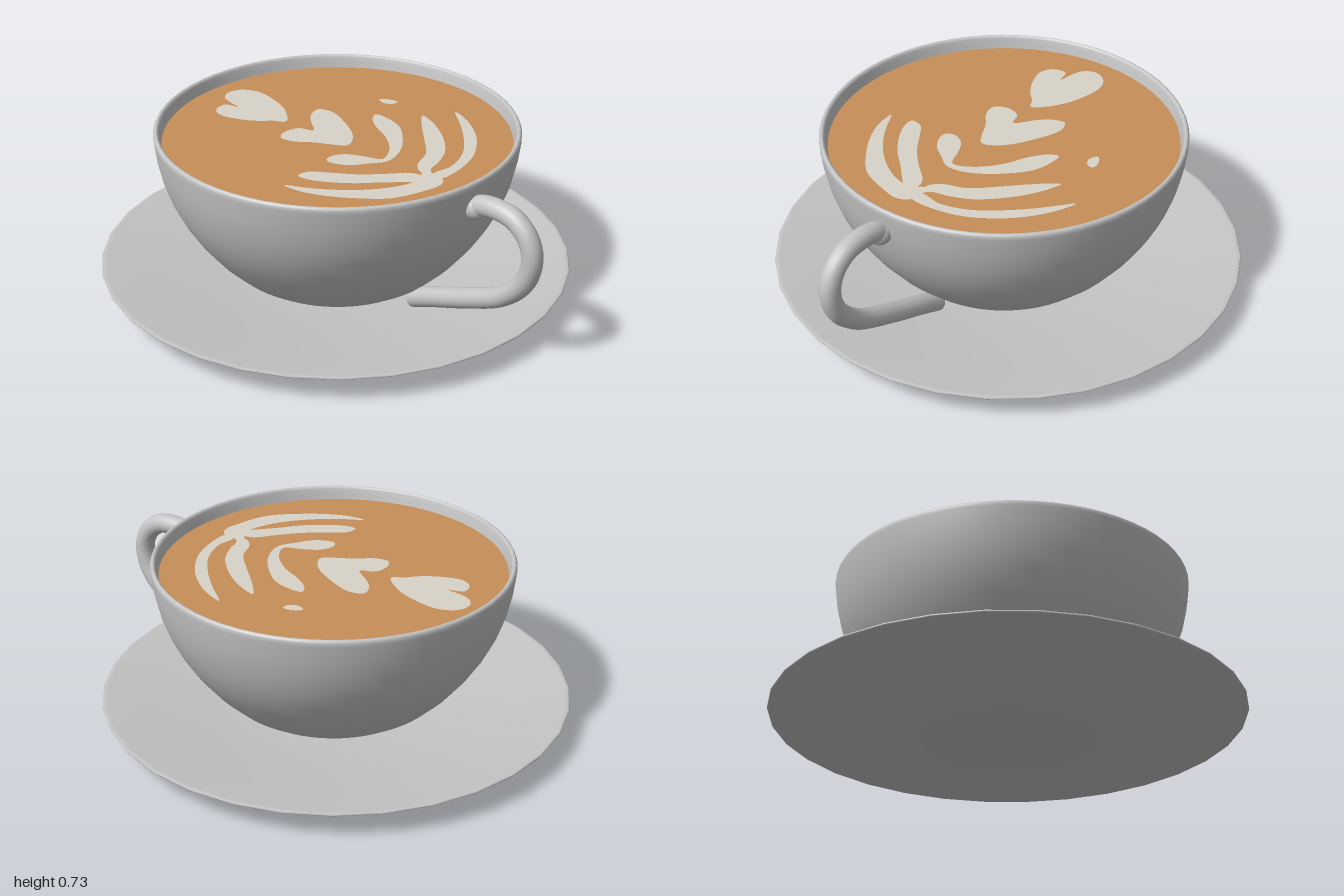
import * as THREE from 'three';

const china = new THREE.MeshStandardMaterial({ color: 0xc4c4c4 });
china.name = 'china grey';
const coffee = new THREE.MeshStandardMaterial({ color: 0xc68e58 });
coffee.name = 'coffee brown';
const foam = new THREE.MeshStandardMaterial({ color: 0xd8d3c9 });
foam.name = 'milk foam';

const CUP_X = 0.004, CUP_Z = 0.018, COFFEE_Y = 0.67;

function add(parent, name, geometry, material) {
  const mesh = new THREE.Mesh(geometry, material);
  mesh.name = name;
  parent.add(mesh);
  return mesh;
}

// Smooth turned body from [radius, height] pairs, walked from the bottom outwards
function lathe(points, segments) {
  return new THREE.LatheGeometry(points.map(([r, y]) => new THREE.Vector2(r, y)), segments);
}

// Flat closed outline given as x, z pairs in hundredths of a unit
function foamShape(c) {
  const pts = [];
  for (let i = 0; i < c.length; i += 2) pts.push(new THREE.Vector3(c[i] / 100, -c[i + 1] / 100, 0));
  const curve = new THREE.CatmullRomCurve3(pts, true);
  const outline = curve.getPoints(pts.length * 4).slice(0, -1).map((p) => new THREE.Vector2(p.x, p.y));
  return new THREE.ShapeGeometry(new THREE.Shape(outline)).rotateX(-Math.PI / 2);
}

// Latte art: two hearts, a drop, and nested leaves
const ART = {
  upperHeart: [-18, -16, -16, -27, -18.5, -39, -24, -49.5, -31, -53, -37, -51, -39, -45, -35, -35,
    -40, -39, -44.5, -35, -44, -29, -38, -23.5, -30, -19.5, -23, -18],
  middleHeart: [2.5, 12, 6.5, 4, 6, -10.5, 3, -22, -2, -25.5, -6, -21, -7.5, -14.5, -8.5, -5,
    -14, -8.5, -20.5, -6, -23, -1, -19, 3.5, -10.5, 6.5, -4, 10],
  drop: [26, -30, 30, -29, 33, -25.5, 31, -24, 27, -25.5],
  innerLeaves: [-9, 24.5, -7, 21, -1, 20, 5.5, 23, 11, 27, 13.5, 27.5, 18, 20, 19.5, 8, 18, -2.5,
    18.5, -11.5, 21, -15, 25, -9.5, 27.5, -1.5, 26.5, 8.5, 23, 20, 18, 27.5, 13.5, 30.5, 7, 30.5, 0, 30.5, -6, 28],
  middleRightLeaf: [40, -9.5, 42.5, 0, 42.5, 13.5, 39.5, 27, 34, 36, 30, 40.5, 28.5, 45,
    25, 41.5, 26, 35, 31.5, 27, 34.5, 13.5, 37, 0],
  middleLeftLeaf: [-23, 35, -18.5, 32.5, -10.5, 35, 0, 39, 11, 41, 21.5, 42.5, 25.5, 47,
    22, 50, 16, 49.5, 8, 48, -2.5, 46.5, -13, 43, -20, 39],
  outerRightLeaf: [54.5, -10.5, 57, 0, 56, 16.5, 50, 32.5, 41.5, 43, 32.5, 49.5, 28.5, 49,
    30, 44.5, 38, 40.5, 46, 30, 50.5, 16.5, 53, 3],
  outerLeftLeaf: [-30, 42, -21, 46.5, -10.5, 50.5, 3, 53, 16, 52, 26, 48, 32, 50, 30, 55,
    21.5, 59, 8, 62, -5, 59, -16, 54.5, -25, 48.5],
  leafStem: [25.5, 43, 28.5, 42, 30, 46, 32, 50, 28, 53, 25, 49],
};

export function createModel() {
  const group = new THREE.Group();
  group.name = 'coffeeCupAndSaucer';

  // Saucer: shallow dish with a flat base and thin rounded lip
  add(group, 'saucer', lathe([
    [0, 0], [0.3, 0.002], [0.45, 0.018], [0.6, 0.038], [0.8, 0.07], [0.985, 0.104], [0.998, 0.109], [1, 0.113],
    [0.996, 0.117], [0.98, 0.117], [0.8, 0.09], [0.6, 0.06], [0.45, 0.042], [0.3, 0.03], [0, 0.028],
  ], 32), china);

  const cup = new THREE.Group();
  cup.name = 'cup';
  cup.position.set(CUP_X, 0, CUP_Z);
  group.add(cup);

  // Bowl with a rounded rim and an inner wall
  add(cup, 'bowl', lathe([
    [0, 0.028], [0.27, 0.03], [0.34, 0.055], [0.41, 0.09], [0.465, 0.127], [0.54, 0.2], [0.61, 0.287], [0.66, 0.365],
    [0.7, 0.445], [0.73, 0.53], [0.75, 0.62], [0.76, 0.7], [0.76, 0.714], [0.756, 0.722], [0.749, 0.726],
    [0.742, 0.723], [0.737, 0.715], [0.732, 0.69], [0.722, 0.65], [0.7, 0.57],
  ], 64), china);

  // Coffee surface
  add(cup, 'coffee', new THREE.CircleGeometry(0.727, 64).rotateX(-Math.PI / 2), coffee).position.y = COFFEE_Y;

  // Handle: points are [distance from the cup axis, height]
  const handle = new THREE.Group();
  handle.name = 'handle';
  handle.rotation.y = THREE.MathUtils.degToRad(33);
  cup.add(handle);
  const path = new THREE.CatmullRomCurve3([
    [0.74, 0.61], [0.79, 0.633], [0.87, 0.642], [0.95, 0.628], [1.015, 0.575], [1.043, 0.495],
    [1.015, 0.385], [0.91, 0.278], [0.72, 0.19], [0.55, 0.125], [0.44, 0.08],
  ].map(([s, y]) => new THREE.Vector3(0, y, s)));
  add(handle, 'handleLoop', new THREE.TubeGeometry(path, 64, 0.043, 16), china);
  add(handle, 'handleJoint', new THREE.SphereGeometry(0.05, 20, 14), china).position.set(0, 0.612, 0.757);

  // Foam pattern lying on the coffee
  const art = new THREE.Group();
  art.name = 'latteArt';
  art.position.y = COFFEE_Y + 0.003;
  group.add(art);
  for (const [name, outline] of Object.entries(ART)) add(art, name, foamShape(outline), foam);

  return group;
}
